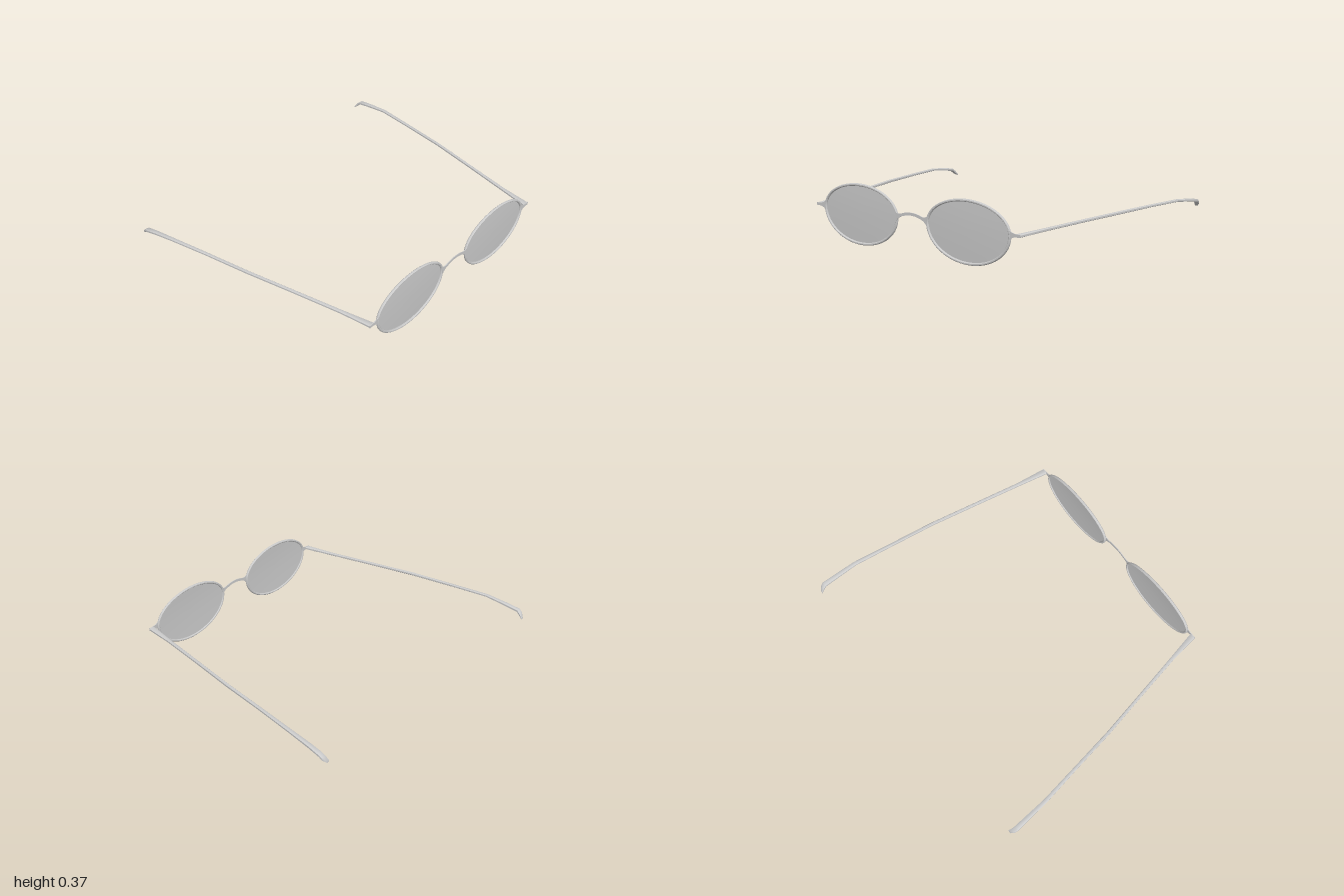
import * as THREE from 'three';
import { toCreasedNormals } from 'three/addons/utils/BufferGeometryUtils.js';

const material = new THREE.MeshStandardMaterial({ color: 0xcccccc });
const sheetMaterial = new THREE.MeshStandardMaterial({ color: 0xcccccc, side: THREE.DoubleSide });
const LENS_X = 0.396, LENS_Y = 0.207;

// Skin a row of cross-sections (each counter-clockwise seen from the far end)
function loft(rings, closed) {
  const n = rings[0].length, index = [];
  const count = closed ? rings.length : rings.length - 1;
  for (let i = 0; i < count; i++) {
    const p = i * n, q = ((i + 1) % rings.length) * n;
    for (let j = 0; j < n; j++) {
      const k = (j + 1) % n;
      index.push(p + j, p + k, q + k, p + j, q + k, q + j);
    }
  }
  if (!closed) {
    const last = (rings.length - 1) * n;
    for (let j = 1; j < n - 1; j++) {
      index.push(0, j + 1, j, last, last + j, last + j + 1);
    }
  }
  const geometry = new THREE.BufferGeometry();
  geometry.setAttribute('position', new THREE.Float32BufferAttribute(rings.flat(2), 3));
  geometry.setIndex(index);
  return toCreasedNormals(geometry, 0.7);
}

// Egg-like lens outline, flatter above the middle than below it
function outline(angle, inset) {
  const c = Math.cos(angle), s = Math.sin(angle);
  const ry = s > 0 ? 0.166 : 0.202;
  return [(0.291 - inset) * c, (ry - inset) * s];
}

function rimGeometry() {
  const rings = [], steps = 72, sides = 8;
  for (let i = 0; i < steps; i++) {
    const angle = (i / steps) * Math.PI * 2, ring = [];
    for (let j = 0; j < sides; j++) {
      const a = ((j + 0.5) / sides) * Math.PI * 2;
      const [x, y] = outline(angle, 0.008 - 0.0085 * Math.sin(a));
      ring.push([x, y, 0.809 + 0.009 * Math.cos(a)]);
    }
    rings.push(ring);
  }
  return loft(rings, true);
}

// Slightly domed sheet inside the rim
function lensGeometry() {
  const geometry = new THREE.RingGeometry(0, 1, 72, 5);
  const pos = geometry.attributes.position;
  for (let i = 0; i < pos.count; i++) {
    const r = Math.hypot(pos.getX(i), pos.getY(i));
    const [x, y] = outline(Math.atan2(pos.getY(i), pos.getX(i)), 0.008);
    pos.setXYZ(i, x * r, y * r, 0.807 + 0.004 * (1 - r * r));
  }
  geometry.computeVertexNormals();
  return geometry;
}

// Thin flat plate cut from a front outline
function plate(shape, z) {
  const geometry = new THREE.ExtrudeGeometry(shape, { depth: 0.005, bevelEnabled: false, curveSegments: 12 });
  return geometry.translate(0, 0, z);
}

function bridgeGeometry() {
  const s = new THREE.Shape();
  s.moveTo(-0.118, 0.246);
  s.quadraticCurveTo(-0.105, 0.228, -0.075, 0.236);
  s.quadraticCurveTo(0, 0.262, 0.075, 0.236);
  s.quadraticCurveTo(0.105, 0.228, 0.118, 0.246);
  s.lineTo(0.112, 0.188);
  s.quadraticCurveTo(0.095, 0.214, 0.06, 0.223);
  s.quadraticCurveTo(0, 0.242, -0.06, 0.223);
  s.quadraticCurveTo(-0.095, 0.214, -0.112, 0.188);
  s.closePath();
  return plate(s, 0.8135);
}

function hingeGeometry(side) {
  const s = new THREE.Shape();
  s.moveTo(side * 0.676, 0.244);
  s.quadraticCurveTo(side * 0.688, 0.222, side * 0.75, 0.222);
  s.lineTo(side * 0.75, 0.206);
  s.quadraticCurveTo(side * 0.69, 0.209, side * 0.678, 0.18);
  s.closePath();
  return plate(s, 0.811);
}

// Temple stations: z, inner x, outer x, bottom y, top y
const TEMPLE = [
  [0.813, 0.712, 0.75, 0.205, 0.222],
  [0.62, 0.752, 0.774, 0.207, 0.223],
  [0.3, 0.815, 0.834, 0.211, 0.227],
  [0, 0.873, 0.892, 0.213, 0.23],
  [-0.3, 0.918, 0.938, 0.212, 0.227],
  [-0.55, 0.955, 0.979, 0.207, 0.222],
  [-0.7, 0.963, 0.992, 0.186, 0.204],
  [-0.78, 0.968, 1.0, 0.172, 0.19],
  [-0.802, 0.964, 0.994, 0.152, 0.173],
  [-0.82, 0.958, 0.978, 0.139, 0.149],
];

function templeGeometry(side) {
  const rings = TEMPLE.map(([z, xi, xo, yb, yt]) => {
    // A box section with clipped corners
    const cx = (xo - xi) * 0.2, cy = (yt - yb) * 0.2;
    const ring = [
      [xi, yb + cy], [xi, yt - cy], [xi + cx, yt], [xo - cx, yt],
      [xo, yt - cy], [xo, yb + cy], [xo - cx, yb], [xi + cx, yb],
    ].map(([x, y]) => [side * x, y, z]);
    return side > 0 ? ring : ring.reverse();
  });
  return loft(rings, false);
}

export function createModel() {
  const model = new THREE.Group();
  model.name = 'eyeglasses';
  const add = (name, geometry, mat = material) => {
    const mesh = new THREE.Mesh(geometry, mat);
    mesh.name = name;
    model.add(mesh);
    return mesh;
  };

  add('bridge', bridgeGeometry());
  for (const [label, side] of [['left', 1], ['right', -1]]) {
    add(label + 'Rim', rimGeometry()).position.set(side * LENS_X, LENS_Y, 0);
    add(label + 'Lens', lensGeometry(), sheetMaterial).position.set(side * LENS_X, LENS_Y, 0);
    add(label + 'Hinge', hingeGeometry(side));
    add(label + 'Temple', templeGeometry(side));
  }
  return model;
}
